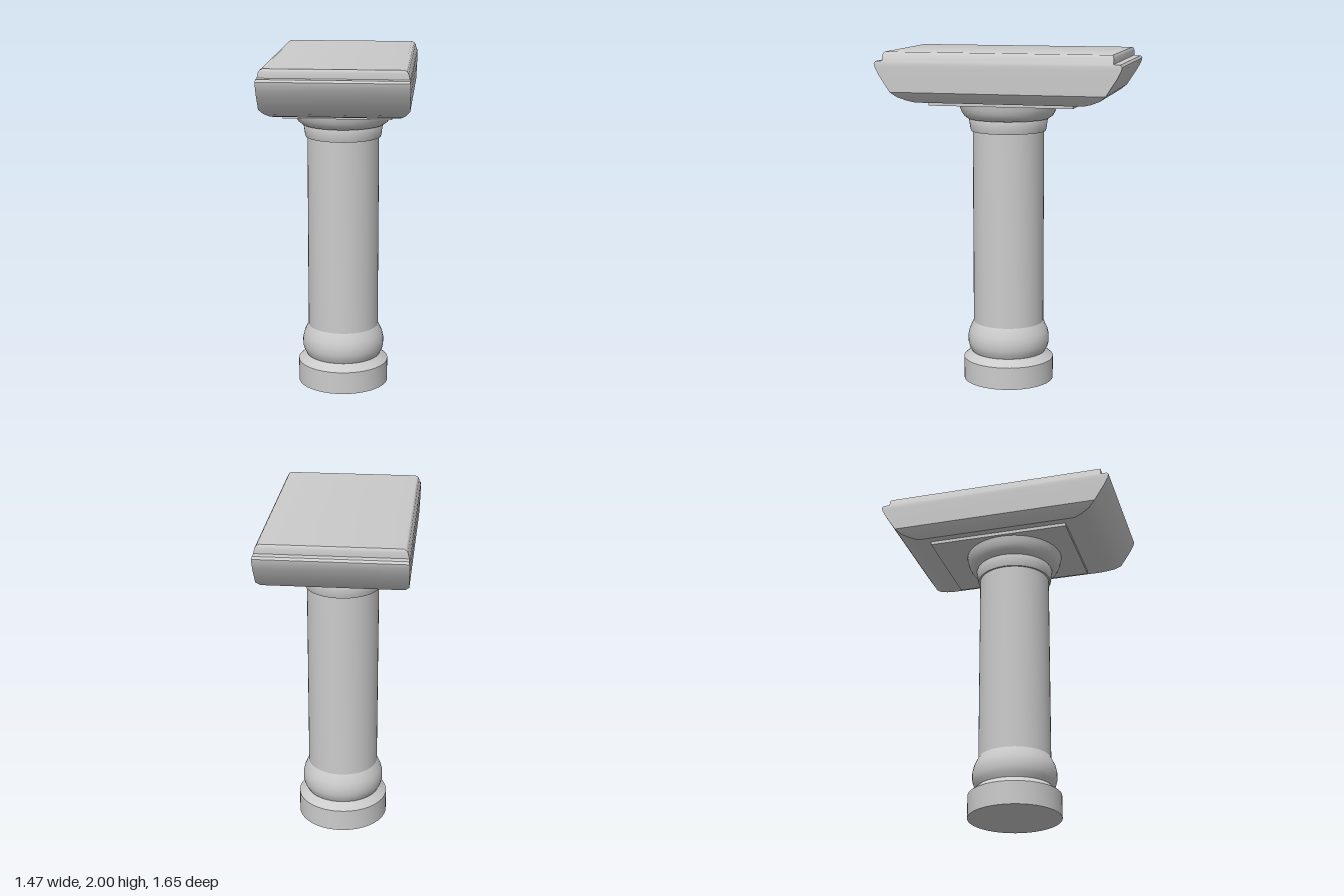
import * as THREE from 'three';
import { toCreasedNormals } from 'three/addons/utils/BufferGeometryUtils.js';

const material = new THREE.MeshStandardMaterial({ color: 0xcccccc });

// Solid made of stacked rectangles, each given as [y, half width, half length]
function stackedRects(levels) {
  const positions = [];
  const index = [];
  for (const [y, a, b] of levels) {
    positions.push(-a, y, b, a, y, b, a, y, -b, -a, y, -b);
  }
  for (let i = 0; i < levels.length - 1; i++) {
    for (let j = 0; j < 4; j++) {
      const p = i * 4 + j, q = i * 4 + (j + 1) % 4;
      index.push(p, q, q + 4, p, q + 4, p + 4);
    }
  }
  const t = (levels.length - 1) * 4;
  index.push(0, 2, 1, 0, 3, 2, t, t + 1, t + 2, t, t + 2, t + 3);
  const geometry = new THREE.BufferGeometry();
  geometry.setAttribute('position', new THREE.Float32BufferAttribute(positions, 3));
  geometry.setIndex(index);
  return geometry;
}

function addPart(parent, name, geometry, crease) {
  const mesh = new THREE.Mesh(toCreasedNormals(geometry, crease), material);
  mesh.name = name;
  parent.add(mesh);
}

function addTurned(parent, name, profile) {
  const points = profile.map(([r, y]) => new THREE.Vector2(r, y));
  addPart(parent, name, new THREE.LatheGeometry(points, 40), 0.6);
}

export function createModel() {
  const model = new THREE.Group();
  model.name = 'pedestalTable';

  // Round pedestal, slightly off centre under the top
  const pedestal = new THREE.Group();
  pedestal.name = 'pedestal';
  pedestal.position.set(-0.01, 0, 0.02);
  addTurned(pedestal, 'plinth', [[0, 0], [0.272, 0], [0.272, 0.135], [0.225, 0.175], [0, 0.175]]);
  addTurned(pedestal, 'baseRing', [
    [0.222, 0.172], [0.238, 0.2], [0.246, 0.23], [0.246, 0.27], [0.238, 0.305], [0.22, 0.345], [0.212, 0.36],
  ]);
  addTurned(pedestal, 'shaft', [[0.212, 0.34], [0.212, 1.54]]);
  addTurned(pedestal, 'neckRing', [[0.205, 1.522], [0.222, 1.522], [0.226, 1.535], [0.234, 1.59], [0.228, 1.605]]);
  addTurned(pedestal, 'capital', [
    [0.22, 1.595], [0.242, 1.598], [0.265, 1.615], [0.28, 1.64], [0.288, 1.665], [0.293, 1.69], [0, 1.692],
  ]);
  model.add(pedestal);

  // Rectangular top, turned about the vertical axis
  const top = new THREE.Group();
  top.name = 'top';
  top.rotation.y = -0.57;
  addPart(top, 'mountingPlate', stackedRects([[1.69, 0.306, 0.422], [1.715, 0.306, 0.422]]), 0.4);
  // Moulded slab: upright long sides, ends that flare out to a ledge
  addPart(top, 'slab', stackedRects([
    [1.71, 0.35, 0.488],
    [1.722, 0.366, 0.535],
    [1.742, 0.388, 0.585],
    [1.772, 0.412, 0.622],
    [1.87, 0.415, 0.685],
    [1.915, 0.415, 0.708],
    [1.935, 0.415, 0.712],
    [1.948, 0.412, 0.702],
    [1.95, 0.411, 0.664],
    [1.982, 0.403, 0.664],
    [1.994, 0.394, 0.66],
    [2.0, 0.38, 0.655],
  ]), 0.5);
  model.add(top);

  return model;
}
